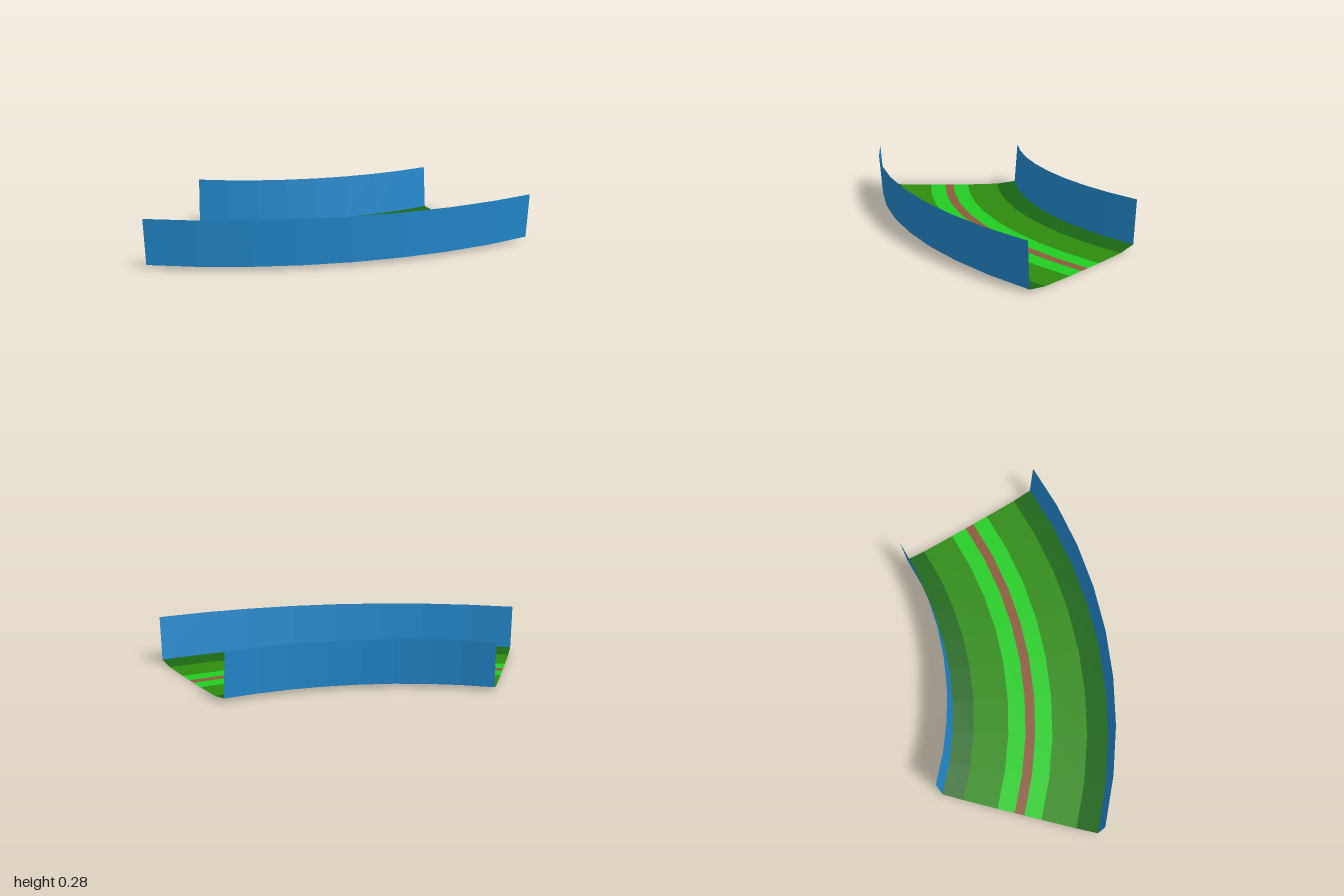
import * as THREE from 'three';

const SEGMENTS = 8;

// Centre line of the bend, seen from above (x, z)
const START = new THREE.Vector2(-1, 0.29);
const END = new THREE.Vector2(0.662, -0.442);
const CORNER = new THREE.Vector2(-0.038, 0.29);
const path = new THREE.CubicBezierCurve(
  START, START.clone().lerp(CORNER, 0.64), END.clone().lerp(CORNER, 0.64), END);

// Sweeps the line between two cross-section points [offset, height] along the bend
function strip(name, color, a, b) {
  const positions = [];
  const index = [];
  for (let i = 0; i <= SEGMENTS; i++) {
    const t = i / SEGMENTS;
    const p = path.getPoint(t);
    const d = path.getTangent(t);
    for (const [offset, height] of [a, b]) {
      positions.push(p.x - d.y * offset, height, p.y + d.x * offset);
    }
    if (i < SEGMENTS) {
      const k = i * 2;
      index.push(k, k + 1, k + 2, k + 1, k + 3, k + 2);
    }
  }
  const geometry = new THREE.BufferGeometry();
  geometry.setAttribute('position', new THREE.Float32BufferAttribute(positions, 3));
  geometry.setIndex(index);
  geometry.computeVertexNormals();
  const mesh = new THREE.Mesh(geometry, new THREE.MeshStandardMaterial({
    color, side: THREE.DoubleSide, flatShading: true }));
  mesh.name = name;
  return mesh;
}

export function createModel() {
  const group = new THREE.Group();
  group.name = 'curvedChannel';

  // Stripe down the middle of the floor
  group.add(strip('centreStripe', 0x8b5a3c, [-0.028, 0], [0.028, 0]));

  // Floor bands and walls, from the middle outwards, mirrored to both sides
  const bands = [
    ['innerFloor', 0x22cc22, [0.028, 0], [0.127, 0]],
    ['midFloor', 0x2e8b0f, [0.127, 0], [0.327, 0.004]],
    ['bank', 0x1a6614, [0.327, 0.004], [0.447, 0.022]],
    ['wall', 0x2288cc, [0.447, 0.022], [0.465, 0.28]],
  ];
  for (const [name, color, a, b] of bands) {
    group.add(strip(name + 'Front', color, a, b));
    group.add(strip(name + 'Back', color, [-b[0], b[1]], [-a[0], a[1]]));
  }
  return group;
}
